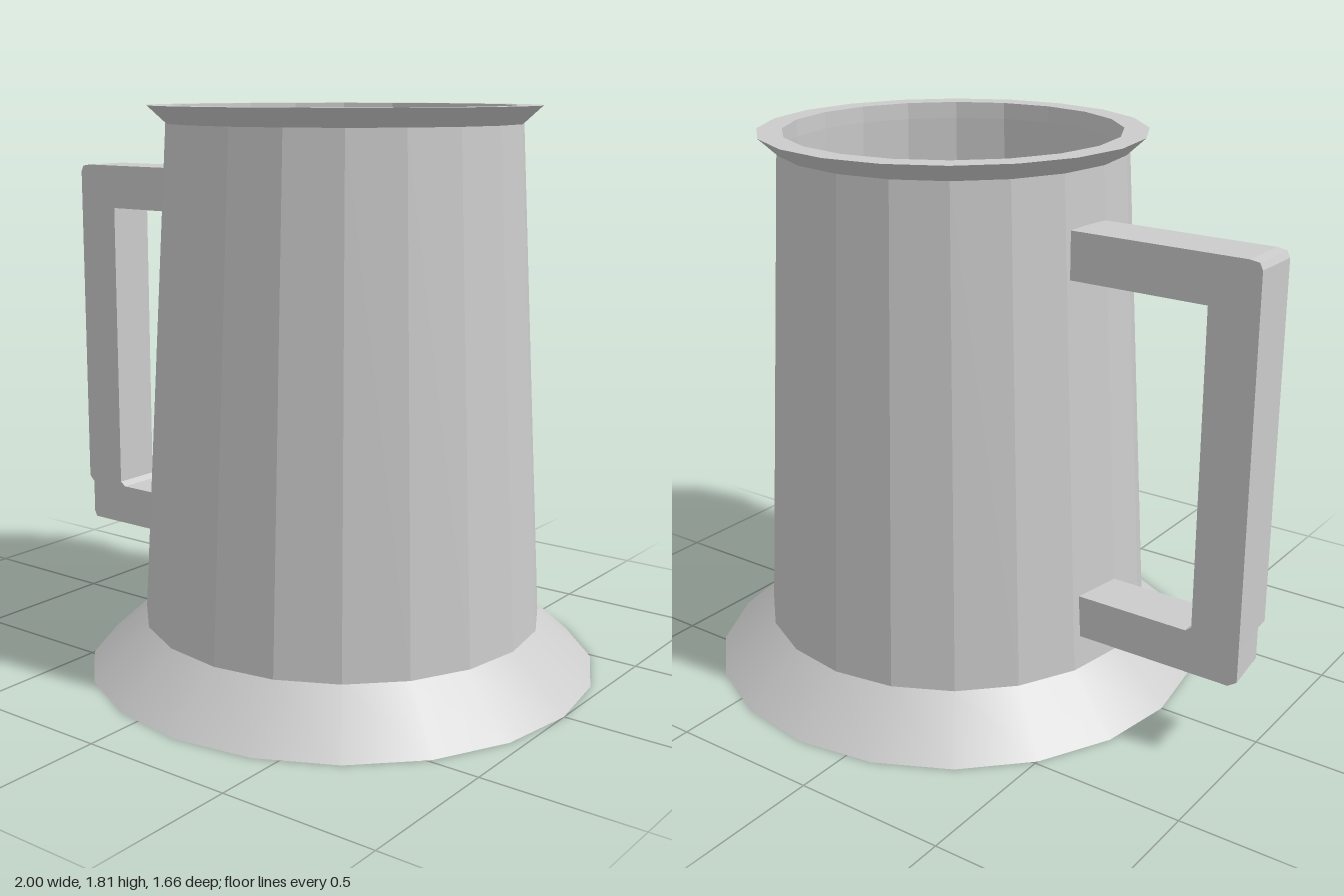
import * as THREE from 'three';

const SIDES = 20;
const smooth = new THREE.MeshStandardMaterial({ color: 0xcccccc });
const flat = new THREE.MeshStandardMaterial({ color: 0xcccccc, flatShading: true });

// Revolve a profile of [radius, height] points; listed bottom-up it faces outward
function turned(name, profile, material) {
  const points = profile.map(([r, y]) => new THREE.Vector2(r, y));
  const mesh = new THREE.Mesh(new THREE.LatheGeometry(points, SIDES), material);
  mesh.name = name;
  return mesh;
}

// Squared handle, with the front edge of its lower corner pulled in a little
function makeHandle() {
  const outline = [
    [-0.385, 1.59], [-0.96, 1.59], [-0.99, 1.585], [-1, 1.565],
    [-1, 0.43], [-1, 0.41], [-1, 0.295], [-0.97, 0.275],
    [-0.44, 0.275], [-0.44, 0.415], [-0.82, 0.415], [-0.84, 0.43],
    [-0.84, 1.44], [-0.385, 1.44],
  ].map(([x, y]) => new THREE.Vector2(x, y));
  const geometry = new THREE.ExtrudeGeometry(new THREE.Shape(outline), { depth: 0.17, bevelEnabled: false });
  geometry.translate(0, 0, -0.17);
  const p = geometry.attributes.position;
  for (let i = 0; i < p.count; i++) {
    if (p.getZ(i) > -0.01 && p.getX(i) < -0.99 && p.getY(i) < 0.42) p.setX(i, -0.98);
  }
  geometry.computeVertexNormals();
  const handle = new THREE.Mesh(geometry, flat);
  handle.name = 'handle';
  return handle;
}

export function createModel() {
  const model = new THREE.Group();
  model.name = 'tankard';

  const vessel = new THREE.Group();
  vessel.name = 'vessel';
  vessel.position.x = 0.17;
  vessel.add(
    turned('underside', [[0, 0], [0.83, 0]], flat),
    turned('flaredBase', [[0.83, 0], [0.65, 0.165]], smooth),
    turned('body', [[0.65, 0.165], [0.56, 1.755]], flat),
    turned('rim', [[0.56, 1.755], [0.62, 1.81], [0.54, 1.81]], flat),
    // Hollow interior, following the outer wall down to the floor
    turned('interior', [[0.54, 1.81], [0.54, 1.755], [0.62, 0.165], [0.77, 0.03], [0, 0.03]], flat),
  );

  model.add(vessel, makeHandle());
  return model;
}
